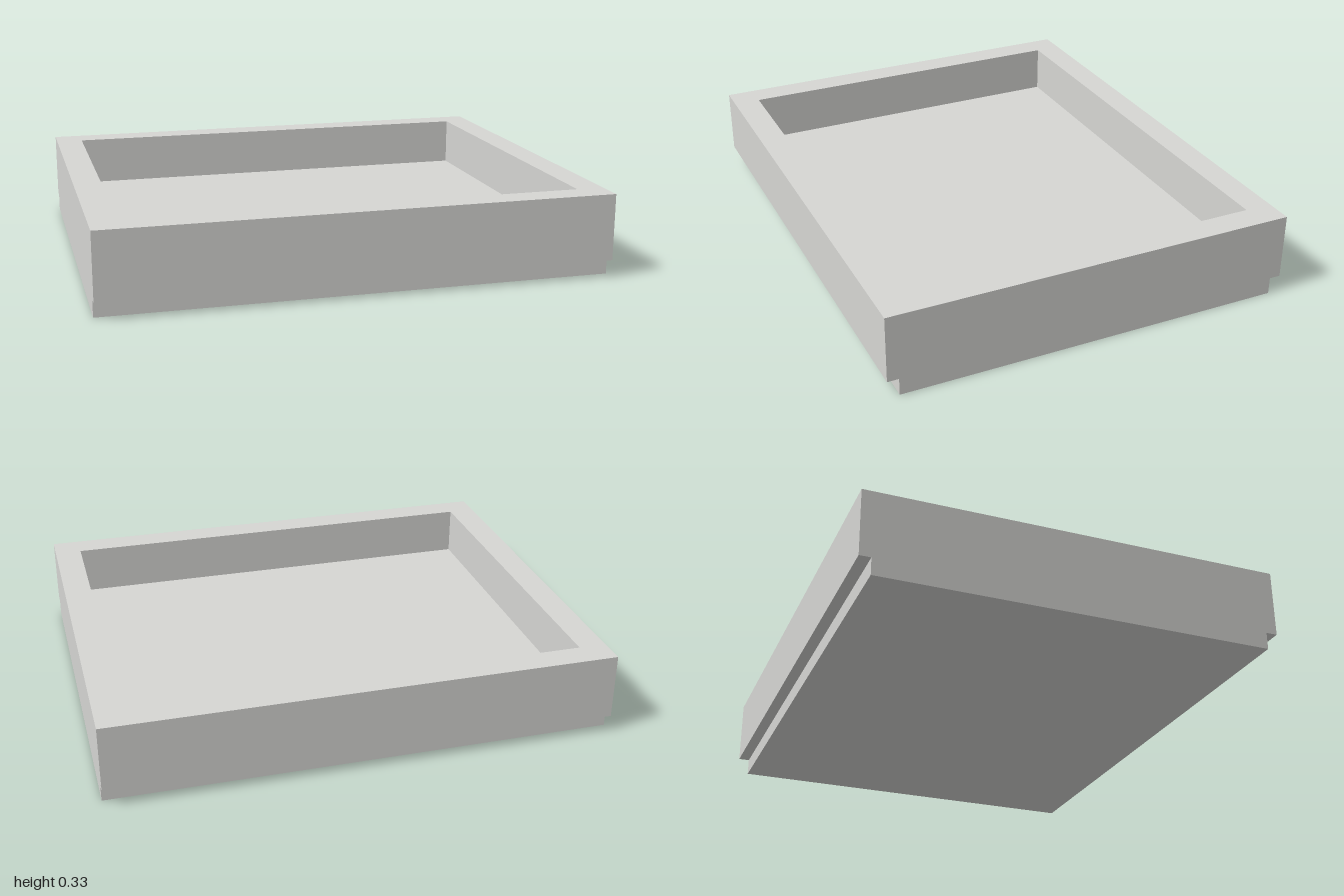
import * as THREE from 'three';

// Rectangle centred on the origin, drawn on a shape or a hole path
function rect(path, halfX, halfZ) {
  path.moveTo(-halfX, -halfZ);
  path.lineTo(halfX, -halfZ);
  path.lineTo(halfX, halfZ);
  path.lineTo(-halfX, halfZ);
  path.closePath();
  return path;
}

export function createModel() {
  const group = new THREE.Group();
  group.name = 'tray';
  const grey = new THREE.MeshStandardMaterial({ color: 0xd6d6d3 });
  grey.name = 'light grey';

  const height = 0.333, step = 0.068, floorY = 0.135;
  const outer = [1, 0.822], inner = [0.89, 0.713], footZ = 0.777;

  // Horizontal slab between two heights, with an optional opening
  function slab(name, bottom, top, size, opening) {
    const shape = rect(new THREE.Shape(), ...size);
    if (opening) shape.holes.push(rect(new THREE.Path(), ...opening));
    const geometry = new THREE.ExtrudeGeometry(shape, { depth: top - bottom, bevelEnabled: false });
    geometry.rotateX(-Math.PI / 2);
    geometry.translate(0, bottom, 0);
    const mesh = new THREE.Mesh(geometry, grey);
    mesh.name = name;
    group.add(mesh);
  }

  // Foot, set back at front and rear
  slab('foot', 0, step, [outer[0], footZ]);
  // Solid floor of the tray
  slab('floor', step, floorY, outer);
  // Four walls around the recess
  slab('rim', floorY, height, outer, inner);

  return group;
}
